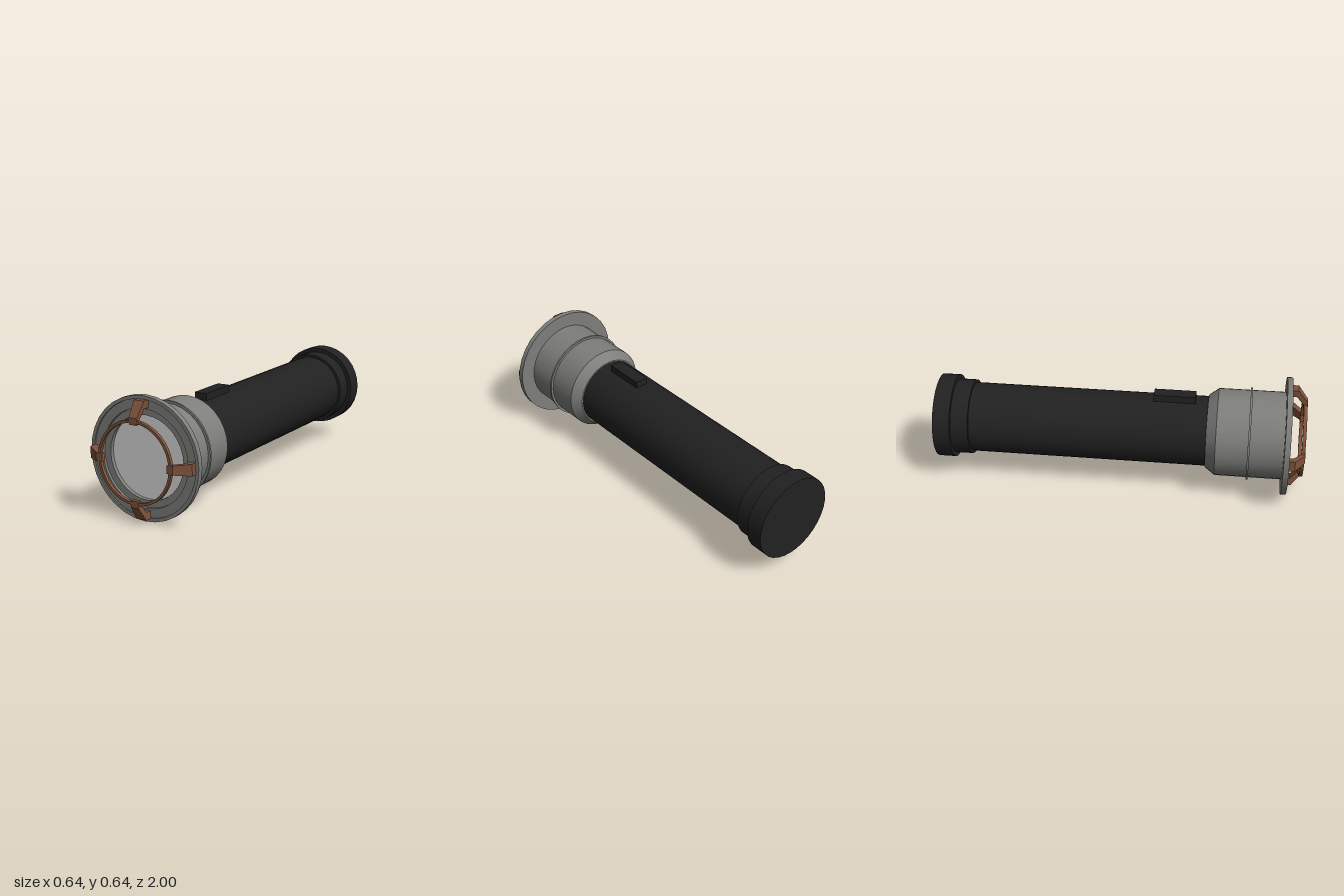
import * as THREE from 'three';
import { toCreasedNormals } from 'three/addons/utils/BufferGeometryUtils.js';

const AXIS_Y = 0.319;

const mat = (name, color) => {
  const m = new THREE.MeshStandardMaterial({ color });
  m.name = name;
  return m;
};

// Turned part around the z axis; profile is [radius, z] going from back to front
function turned(profile) {
  const pts = profile.map(([r, z]) => new THREE.Vector2(r, z));
  const geo = new THREE.LatheGeometry(pts, 32);
  geo.rotateX(Math.PI / 2);
  return toCreasedNormals(geo, 0.5);
}

// Bent claw lying along +x, narrowing toward the axis
function clawGeometry() {
  const shape = new THREE.Shape([
    [0.3, 0.9], [0.3, 0.945], [0.225, 0.998], [0.19, 0.998],
    [0.19, 0.975], [0.212, 0.975], [0.26, 0.938], [0.26, 0.9],
  ].map(([r, z]) => new THREE.Vector2(r, z)));
  const geo = new THREE.ExtrudeGeometry(shape, { depth: 2, bevelEnabled: false });
  geo.translate(0, 0, -1);
  geo.rotateX(Math.PI / 2);
  const p = geo.attributes.position;
  for (let i = 0; i < p.count; i++) {
    const half = 0.02 + 0.01 * (p.getX(i) - 0.19) / 0.11;
    p.setY(i, p.getY(i) * half);
  }
  geo.computeVertexNormals();
  return geo;
}

export function createModel() {
  const black = mat('black grip', 0x212121);
  const grey = mat('grey metal', 0x7e7e7b);
  const copper = mat('copper', 0x7f523a);
  const glass = mat('pale glass', 0xd8d8d8);

  const model = new THREE.Group();
  model.name = 'flashlight';
  const barrel = new THREE.Group();
  barrel.name = 'barrel';
  barrel.position.y = AXIS_Y;
  model.add(barrel);

  const add = (name, geo, material, parent = barrel) => {
    const mesh = new THREE.Mesh(geo, material);
    mesh.name = name;
    parent.add(mesh);
    return mesh;
  };

  // Handle and tail
  add('handle', turned([[0, -0.85], [0.19, -0.85], [0.19, 0.5], [0, 0.5]]), black);
  add('tailCap', turned([
    [0, -1], [0.228, -1], [0.228, -0.907], [0.205, -0.907], [0.205, -0.812], [0.185, -0.812],
  ]), black);

  // Slide switch on top of the handle
  add('switch', new THREE.BoxGeometry(0.07, 0.06, 0.225), black).position.set(0, 0.195, 0.292);

  // Head with flange and stepped recess
  add('head', turned([
    [0.185, 0.472], [0.198, 0.472], [0.237, 0.525], [0.237, 0.885], [0.318, 0.885],
    [0.318, 0.915], [0.3, 0.915], [0.3, 0.907], [0.252, 0.907], [0.252, 0.892],
    [0.216, 0.892], [0.216, 0.865],
  ]), grey);
  add('headBand', turned([[0.23, 0.695], [0.25, 0.695], [0.25, 0.706], [0.23, 0.706]]), grey);

  // Lens
  add('lens', new THREE.CircleGeometry(0.22, 32), glass).position.z = 0.87;

  // Guard ring held by four claws
  const guard = new THREE.Group();
  guard.name = 'lensGuard';
  barrel.add(guard);
  add('guardRing', turned([
    [0.2, 0.977], [0.214, 0.977], [0.214, 0.996], [0.2, 0.996], [0.2, 0.977],
  ]), copper, guard);
  const claw = clawGeometry();
  for (let i = 0; i < 4; i++) {
    add('claw', claw, copper, guard).rotation.z = i * Math.PI / 2;
  }

  return model;
}
